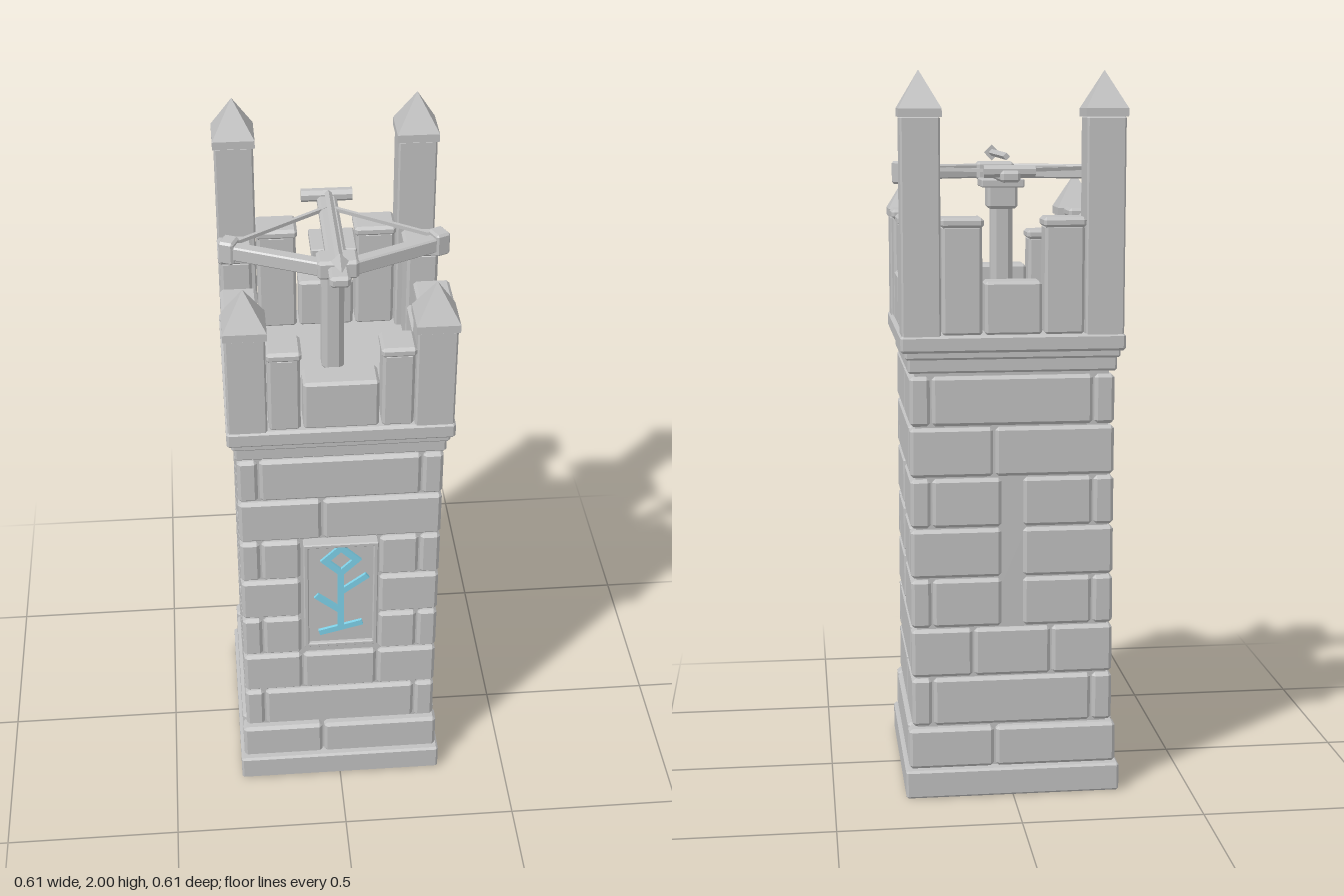
import * as THREE from 'three';
import { ConvexGeometry } from 'three/addons/geometries/ConvexGeometry.js';

const stone = new THREE.MeshStandardMaterial({ color: 0xc0c0c0 });
stone.name = 'grey stone';
const glow = new THREE.MeshStandardMaterial({ color: 0x7fd3ea });
glow.name = 'blue glow';

function add(parent, name, geometry, x = 0, y = 0, z = 0, material = stone) {
  const mesh = new THREE.Mesh(geometry, material);
  mesh.name = name;
  mesh.position.set(x, y, z);
  parent.add(mesh);
  return mesh;
}

// box with chamfered edges
function chamferBox(w, h, d, c = 0.008) {
  const pts = [];
  for (const x of [-1, 1]) for (const y of [-1, 1]) for (const z of [-1, 1]) {
    const [a, b, e] = [x * w / 2, y * h / 2, z * d / 2];
    pts.push(new THREE.Vector3(a, b - y * c, e - z * c),
      new THREE.Vector3(a - x * c, b, e - z * c),
      new THREE.Vector3(a - x * c, b - y * c, e));
  }
  return new ConvexGeometry(pts);
}

// chamfered block given by its limits
function block(parent, name, x0, x1, y0, y1, z0, z1, c) {
  return add(parent, name, chamferBox(x1 - x0, y1 - y0, z1 - z0, c),
    (x0 + x1) / 2, (y0 + y1) / 2, (z0 + z1) / 2);
}

function flatPrism(rTop, rBottom, height, sides) {
  return new THREE.CylinderGeometry(rTop, rBottom, height, sides).toNonIndexed();
}
function faceted(geometry) {
  geometry.computeVertexNormals();
  return geometry;
}

// one brick wall; rows of the wall alternate between reaching the corner and stopping short of it
function brickWall(index) {
  const wall = new THREE.Group();
  wall.name = 'brickWall';
  const side = index % 2;
  const gap = index === 0 ? 0.112 : 0.03;
  for (let row = 0; row < 8; row++) {
    const out = row === 0 ? 0.29 : 0.28;
    const long = row % 2 === side;
    const end = long ? out : out - 0.06;
    let spans;
    if (row >= 3 && row <= 5) spans = [[-end, -gap], [gap, end]];
    else if (!long) spans = [[-end, end]];
    else if (row === 2) spans = [[-end, -0.111], [-0.106, 0.106], [0.111, end]];
    else {
      const s = side ? 0.05 : -0.05;
      spans = [[-end, s - 0.003], [s + 0.003, end]];
    }
    const y0 = row === 0 ? 0.083 : 0.204 + (row - 1) * 0.1413;
    const y1 = row === 0 ? 0.198 : y0 + 0.136;
    for (const [a, b] of spans) block(wall, 'brick', a, b, y0, y1, out - 0.055, out, 0.009);
  }
  wall.rotation.y = index * Math.PI / 2;
  return wall;
}

// merlons between two corner turrets
function battlement(index) {
  const g = new THREE.Group();
  g.name = 'battlement';
  const front = index === 0;
  const inner = front ? 0.103 : 0.08;
  const top = front ? 1.545 : 1.615;
  block(g, 'lowMerlon', -inner + 0.003, inner - 0.003, 1.3, 1.445, 0.213, 0.297);
  for (const s of [-1, 1]) {
    const cx = s * (inner + 0.196) / 2, w = 0.196 - inner;
    add(g, 'merlon', chamferBox(w - 0.008, top - 1.32, 0.085), cx, (top + 1.28) / 2, 0.255);
    add(g, 'merlonCap', chamferBox(w, 0.028, 0.096), cx, top - 0.014, 0.255);
  }
  g.rotation.y = index * Math.PI / 2;
  return g;
}

// corner post with a pyramid roof
function turret(x, z, top) {
  const g = new THREE.Group();
  g.name = 'cornerTurret';
  const base = top - 0.1;
  add(g, 'turretShaft', chamferBox(0.105, base - 1.31, 0.105, 0.005), 0, (base + 1.27) / 2, 0);
  add(g, 'turretEave', new THREE.BoxGeometry(0.114, 0.022, 0.114), 0, base - 0.011, 0);
  const roof = faceted(flatPrism(0, 0.057 * Math.SQRT2, 0.1, 4).rotateY(Math.PI / 4));
  add(g, 'turretRoof', roof, 0, base + 0.05, 0);
  g.position.set(x, 0, z);
  return g;
}

// carved plate with a raised sign
function plaque() {
  const g = new THREE.Group();
  g.name = 'plaque';
  block(g, 'plaquePlate', -0.103, 0.103, 0.53, 0.905, 0.25, 0.291, 0.003);
  for (const s of [-1, 1]) {
    block(g, 'plaqueFrameSide', s * 0.098 - 0.007, s * 0.098 + 0.007, 0.528, 0.908, 0.27, 0.302, 0.003);
    block(g, 'plaqueFrameEnd', -0.105, 0.105, 0.718 + s * 0.183 - 0.007, 0.718 + s * 0.183 + 0.007, 0.27, 0.302, 0.003);
  }
  const strokes = [[0, 0.8, 0, 0.6], [-0.062, 0.58, 0.062, 0.613],
    [-0.07, 0.72, 0, 0.66], [0, 0.73, 0.075, 0.787]];
  for (const [x0, y0, x1, y1] of strokes) {
    const bar = new THREE.BoxGeometry(Math.hypot(x1 - x0, y1 - y0), 0.018, 0.009);
    add(g, 'signStroke', bar, (x0 + x1) / 2, (y0 + y1) / 2, 0.295, glow)
      .rotation.z = Math.atan2(y1 - y0, x1 - x0);
  }
  const diamond = (r) => [[r, 0], [0, r], [-r, 0], [0, -r]].map(([x, y]) => new THREE.Vector2(x, y));
  const ring = new THREE.Shape(diamond(0.058));
  ring.holes.push(new THREE.Path(diamond(0.031).reverse()));
  add(g, 'signDiamond', new THREE.ExtrudeGeometry(ring, { depth: 0.009, bevelEnabled: false }), 0, 0.846, 0.2905, glow);
  return g;
}

// mounted giant crossbow
function ballista() {
  const g = new THREE.Group();
  g.name = 'ballista';
  add(g, 'standPost', chamferBox(0.062, 0.35, 0.062, 0.015), 0, 1.475, 0);
  block(g, 'standCollar', -0.042, 0.042, 1.622, 1.69, -0.042, 0.042);
  block(g, 'standCollarRim', -0.06, 0.06, 1.682, 1.705, -0.057, 0.057, 0.003);
  block(g, 'stock', -0.027, 0.027, 1.703, 1.735, -0.232, 0.255);
  block(g, 'bowBlock', -0.054, 0.054, 1.694, 1.747, 0.127, 0.197);
  const winch = faceted(flatPrism(0.018, 0.018, 0.14, 8).rotateY(Math.PI / 8).rotateZ(Math.PI / 2));
  add(g, 'winch', winch, 0, 1.732, -0.193);
  for (const s of [-1, 1]) {
    const angle = s * Math.atan2(0.1, 0.225);
    add(g, 'bowArm', chamferBox(0.25, 0.04, 0.034, 0.004), s * 0.157, 1.72, 0.12).rotation.y = angle;
    add(g, 'bowTip', chamferBox(0.042, 0.064, 0.05, 0.006), s * 0.275, 1.72, 0.064).rotation.y = angle;
    const dx = 0.255, dz = 0.168;
    add(g, 'bowString', new THREE.BoxGeometry(Math.hypot(dx, dz), 0.01, 0.01), s * 0.1325, 1.731, -0.036)
      .rotation.y = -s * Math.atan2(dz, dx);
  }
  const shaft = faceted(flatPrism(0.01, 0.01, 0.36, 4).rotateX(Math.PI / 2));
  add(g, 'boltShaft', shaft, 0, 1.77, 0.05);
  const head = faceted(flatPrism(0, 0.023, 0.06, 4).rotateX(Math.PI / 2));
  add(g, 'boltHead', head, 0, 1.77, 0.26);
  return g;
}

export function createModel() {
  const model = new THREE.Group();
  model.name = 'watchtower';

  // tower body, plinth and ledges
  block(model, 'plinth', -0.3, 0.3, 0, 0.08, -0.3, 0.3, 0.006);
  add(model, 'towerCore', new THREE.BoxGeometry(0.53, 1.22, 0.53), 0, 0.67, 0);
  block(model, 'lowerLedge', -0.285, 0.285, 1.198, 1.245, -0.285, 0.285, 0.006);
  block(model, 'ledgeNeck', -0.293, 0.293, 1.235, 1.27, -0.293, 0.293, 0.006);
  block(model, 'platform', -0.305, 0.305, 1.255, 1.302, -0.305, 0.305, 0.007);

  for (let i = 0; i < 4; i++) model.add(brickWall(i), battlement(i));

  // short turrets in front, tall ones behind
  for (const x of [-0.248, 0.248]) model.add(turret(x, 0.248, 1.71), turret(x, -0.248, 2));

  model.add(plaque(), ballista());
  return model;
}
